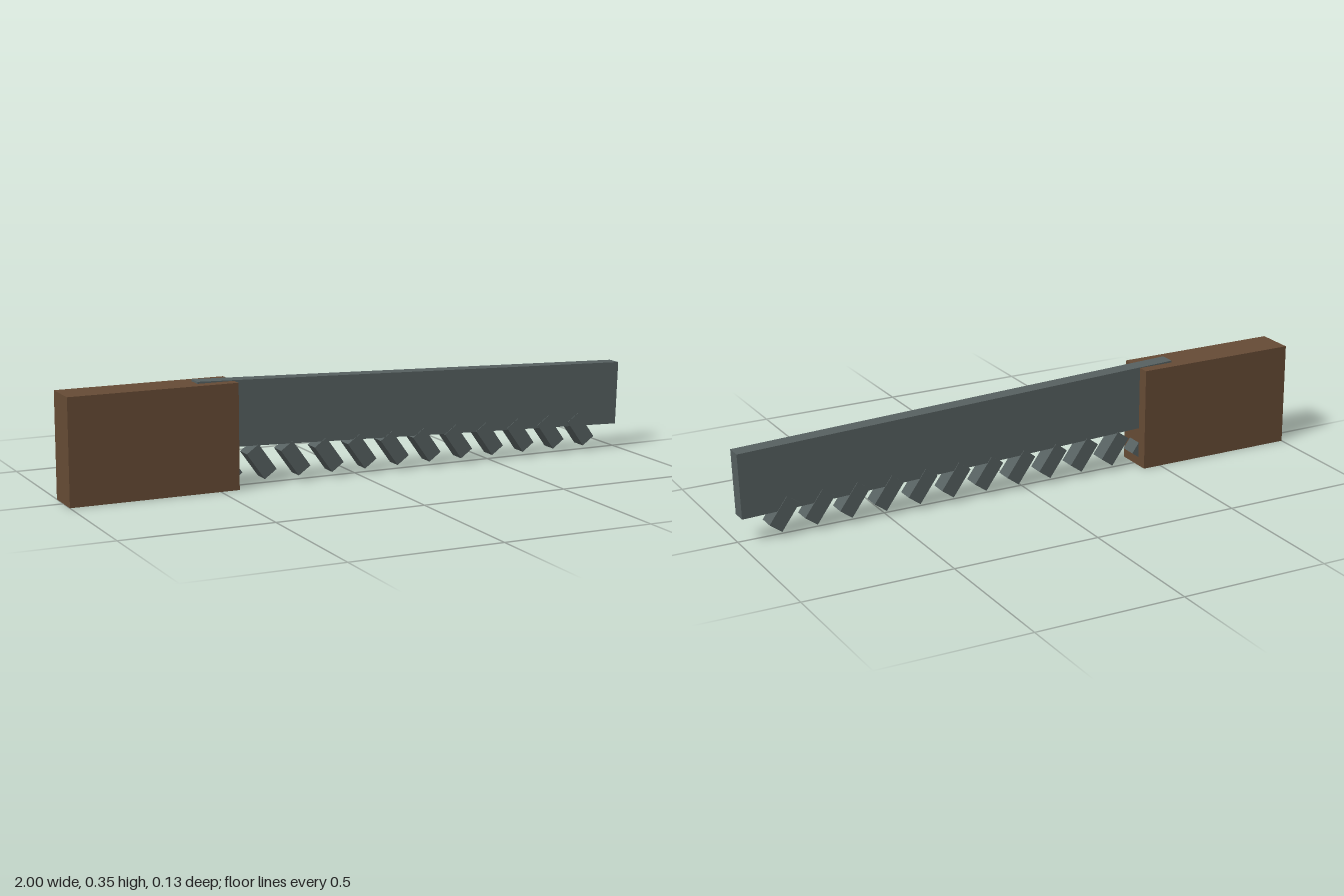
import * as THREE from 'three';

export function createModel() {
  const model = new THREE.Group();
  model.name = 'saw';

  const wood = new THREE.MeshStandardMaterial({ color: 0x664b35 });
  wood.name = 'brown wood';
  const steel = new THREE.MeshStandardMaterial({ color: 0x566060 });
  steel.name = 'grey steel';

  // Adds a box, tilted about z, to the given parent
  function addBox(parent, name, material, size, position, tilt = 0) {
    const mesh = new THREE.Mesh(new THREE.BoxGeometry(...size), material);
    mesh.name = name;
    mesh.position.set(...position);
    mesh.rotation.z = tilt;
    parent.add(mesh);
    return mesh;
  }

  // Block handle
  addBox(model, 'handle', wood, [0.564, 0.347, 0.13], [-0.718, 0.1735, 0]);

  // Blade, dipping slightly to the tip and let into the handle top
  addBox(model, 'blade', steel, [1.56, 0.216, 0.053], [0.216, 0.2185, 0], -0.0345);

  // Row of slanted teeth; the first is half sunk in the handle
  const teeth = new THREE.Group();
  teeth.name = 'teeth';
  model.add(teeth);
  for (let i = 0; i < 12; i++) {
    addBox(teeth, 'tooth', steel, [0.051, 0.107, 0.057], [-0.463 + i * 0.1195, 0.076, 0], 0.62);
  }

  return model;
}
